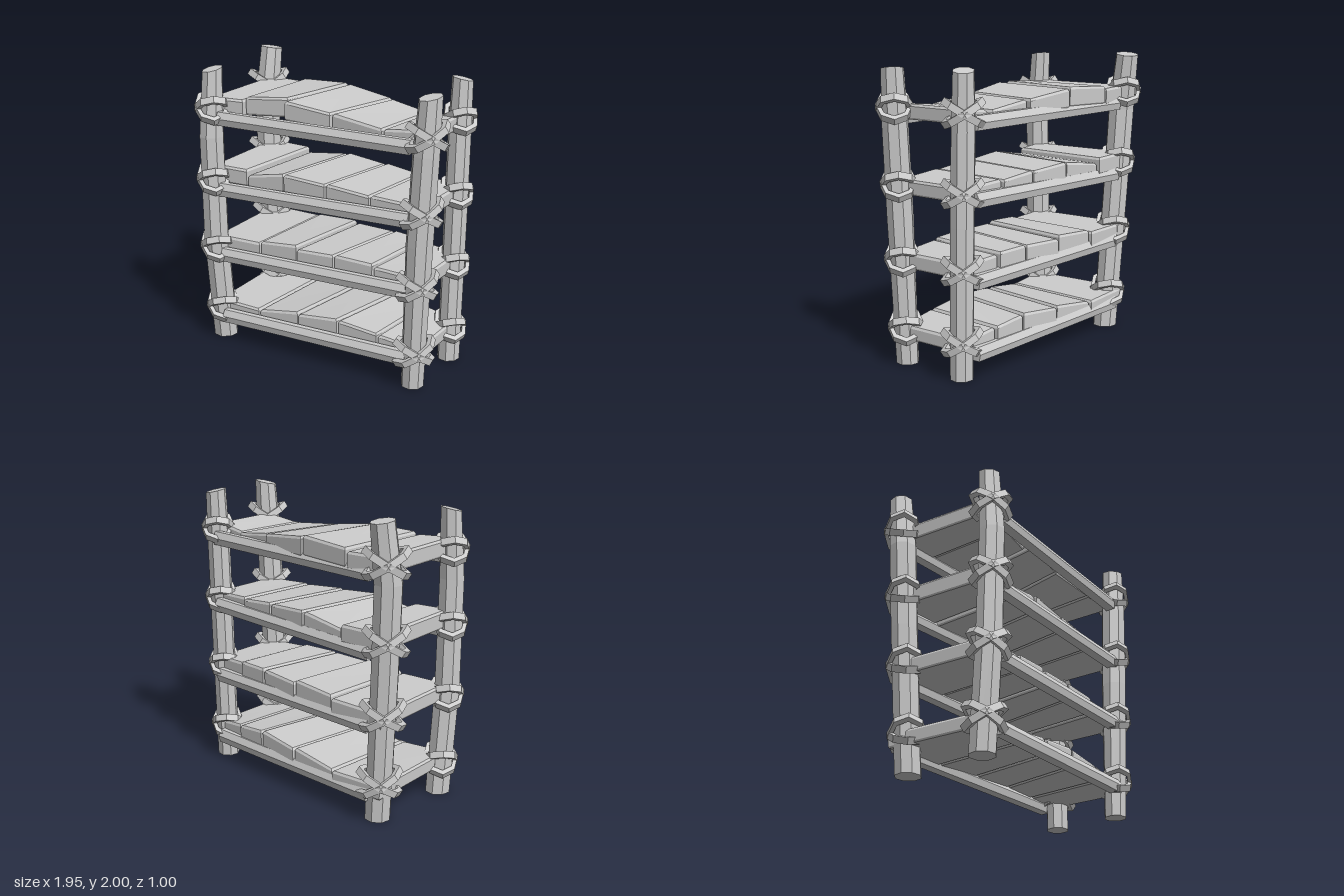
import * as THREE from 'three';

const wood = new THREE.MeshStandardMaterial({ color: 0xcccccc, flatShading: true });
wood.name = 'plain grey wood';

// Closed faceted solid through rings of points (counter-clockwise seen from the last ring)
function loft(rings) {
  const pos = [];
  const tri = (a, b, c) => pos.push(...a, ...b, ...c);
  const n = rings[0].length;
  const centre = r => [0, 1, 2].map(k => r.reduce((s, p) => s + p[k], 0) / n);
  const first = rings[0], last = rings[rings.length - 1];
  const c0 = centre(first), c1 = centre(last);
  for (let i = 0; i < n; i++) {
    const j = (i + 1) % n;
    for (let s = 0; s < rings.length - 1; s++) {
      const a = rings[s], b = rings[s + 1];
      tri(a[i], a[j], b[j]);
      tri(a[i], b[j], b[i]);
    }
    tri(c0, first[j], first[i]);
    tri(c1, last[i], last[j]);
  }
  const g = new THREE.BufferGeometry();
  g.setAttribute('position', new THREE.Float32BufferAttribute(pos, 3));
  g.computeVertexNormals();
  return g;
}

function add(parent, name, geometry) {
  const mesh = new THREE.Mesh(geometry, wood);
  mesh.name = name;
  parent.add(mesh);
  return mesh;
}

// Post stations are [x, y, z, radius]; wrap is the rope radius, lift its height offset
const posts = [
  { name: 'frontRightPost', out: [-1, 1], wrap: 0.105, tilt: [0.01, -0.014], lift: -0.005,
    path: [[-0.765, 0, 0.3, 0.088], [-0.78, 0.75, 0.352, 0.09], [-0.78, 1.5, 0.364, 0.087], [-0.778, 1.96, 0.335, 0.072]] },
  { name: 'backRightPost', out: [-1, -1], wrap: 0.113, tilt: [-0.006, 0.01], lift: 0.025,
    path: [[-0.735, 0, -0.305, 0.088], [-0.8, 1, -0.333, 0.092], [-0.832, 1.6, -0.35, 0.094], [-0.82, 1.989, -0.4, 0.08]] },
  { name: 'frontLeftPost', out: [1, 1], wrap: 0.106, tilt: [0.01, -0.012], lift: 0.012,
    path: [[0.772, 0, 0.265, 0.077], [0.805, 1, 0.275, 0.09], [0.835, 1.6, 0.275, 0.088], [0.855, 1.962, 0.27, 0.076]] },
  { name: 'backLeftPost', out: [1, -1], wrap: 0.1, tilt: [-0.012, 0.01], lift: 0.008,
    path: [[0.785, 0, -0.225, 0.078], [0.79, 1, -0.245, 0.08], [0.79, 1.6, -0.26, 0.079], [0.795, 1.972, -0.27, 0.07]] },
];

// Eight-sided leaning post with a chopped, tilted top
function postGeometry({ path, tilt }) {
  return loft(path.map(([x, y, z, r], s) => {
    const ring = [];
    for (let i = 0; i < 8; i++) {
      const a = (i + 0.3) * Math.PI / 4;
      const dz = Math.cos(a), dx = Math.sin(a);
      const chop = s === path.length - 1 ? tilt[0] * dx + tilt[1] * dz : 0;
      ring.push([x + dx * r, y + chop, z + dz * r]);
    }
    return ring;
  }));
}

// Centre of a post at a given height
function postAt({ path }, y) {
  let s = 0;
  while (s < path.length - 2 && path[s + 1][1] < y) s++;
  const a = path[s], b = path[s + 1], t = (y - a[1]) / (b[1] - a[1]);
  return [a[0] + (b[0] - a[0]) * t, y, a[2] + (b[2] - a[2]) * t];
}

// Six-sided rail from one end centre to the other; section points are [y, z]
const railSection = [[0.046, 0.02], [0.002, 0.044], [-0.045, 0.034], [-0.045, -0.034], [0.002, -0.044], [0.046, -0.02]];
function railGeometry(a, b) {
  return loft([a, b].map(([x, y, z]) => railSection.map(([dy, dz]) => [x, y + dy, z + dz])));
}

// Plank with chipped edges; corners run front -x, front +x, back +x, back -x
function plankGeometry(corners, base) {
  const cx = corners.reduce((s, c) => s + c[0], 0) / 4;
  const cz = corners.reduce((s, c) => s + c[2], 0) / 4;
  // The underside follows half of the top's slope, staying near the rails
  const under = y => (base + y - 0.105) / 2;
  const levels = [[under, 0.006], [y => under(y) + 0.012, 0], [y => y - 0.016, 0], [y => y, 0.01]];
  return loft(levels.map(([height, inset]) =>
    corners.map(([x, y, z]) => [x - Math.sign(x - cx) * inset, height(y), z - Math.sign(z - cz) * inset])));
}

// Flat octagonal rope band
function ropeGeometry(r) {
  const h = 0.023, t = 0.014;
  const profile = [[r - t, -h], [r + t, -h], [r + t, h], [r - t, h], [r - t, -h]];
  return new THREE.LatheGeometry(profile.map(p => new THREE.Vector2(...p)), 8);
}

// Front and back edge depths of the five planks, [-x, +x]: lower shelves, then the top one
const lowerFront = [[0.345, 0.32], [0.32, 0.3], [0.312, 0.295], [0.295, 0.285], [0.285, 0.265]];
const lowerBack = [[-0.4, -0.4], [-0.385, -0.37], [-0.375, -0.345], [-0.345, -0.325], [-0.31, -0.285]];
const topFront = [[0.355, 0.305], [0.285, 0.225], [0.282, 0.25], [0.24, 0.262], [0.258, 0.25]];
const topBack = [[-0.4, -0.41], [-0.41, -0.385], [-0.39, -0.345], [-0.325, -0.29], [-0.255, -0.235]];

// Per shelf: underside height, rail heights [-x, +x], plank joints along the front, joint slants, plank tops [-x, +x]
const shelves = [
  { rope: 0.24, base: 0.185, front: [0.182, 0.207], back: [0.19, 0.172], zFront: lowerFront, zBack: lowerBack,
    joints: [-0.44, -0.12, 0.2, 0.51], slant: [0.03, 0.08, 0.1, 0.04],
    tops: [[0.28, 0.265], [0.265, 0.31], [0.305, 0.335], [0.33, 0.305], [0.3, 0.27]] },
  { rope: 0.71, base: 0.66, front: [0.652, 0.684], back: [0.66, 0.645], zFront: lowerFront, zBack: lowerBack,
    joints: [-0.42, -0.125, 0.17, 0.47], slant: [0.02, 0.07, 0.1, 0.05],
    tops: [[0.77, 0.77], [0.785, 0.805], [0.785, 0.795], [0.8, 0.795], [0.78, 0.765]] },
  { rope: 1.205, base: 1.155, front: [1.133, 1.165], back: [1.145, 1.17], zFront: lowerFront, zBack: lowerBack,
    joints: [-0.515, -0.225, 0.105, 0.44], slant: [0.03, 0.09, 0.09, 0.04],
    tops: [[1.29, 1.285], [1.25, 1.295], [1.3, 1.28], [1.285, 1.26], [1.265, 1.25]] },
  { rope: 1.705, base: 1.645, front: [1.637, 1.643], back: [1.65, 1.65], zFront: topFront, zBack: topBack,
    joints: [-0.545, -0.23, 0.12, 0.515], slant: [0.005, 0.085, 0.115, 0.035],
    tops: [[1.77, 1.765], [1.785, 1.805], [1.795, 1.755], [1.75, 1.71], [1.71, 1.74]] },
];

export function createModel() {
  const model = new THREE.Group();
  model.name = 'lashedShelf';

  for (const post of posts) add(model, post.name, postGeometry(post));

  shelves.forEach((s, level) => {
    const shelf = new THREE.Group();
    shelf.name = 'shelf' + (level + 1);
    model.add(shelf);

    // Rails carrying the planks
    add(shelf, 'frontRail', railGeometry([-0.7, s.front[0], 0.373], [0.75, s.front[1], 0.305]));
    add(shelf, 'backRail', railGeometry([-0.72, s.back[0], -0.378], [0.75, s.back[1], -0.308]));

    // Five uneven planks with narrow gaps
    const frontX = [-0.79, ...s.joints, 0.82];
    const backX = [-0.835, ...s.joints.map((x, i) => x + s.slant[i]), 0.81];
    const gap = 0.008;
    s.tops.forEach(([yl, yr], i) => {
      const [fl, fr] = s.zFront[i], [bl, br] = s.zBack[i];
      add(shelf, 'plank', plankGeometry([
        [frontX[i] + gap, yl, fl], [frontX[i + 1] - gap, yr, fr],
        [backX[i + 1] - gap, yr, br], [backX[i] + gap, yl, bl],
      ], s.base));
    });

    // Two crossed oval bands lash each corner, crossing on its outer side
    for (const post of posts) {
      for (const side of [-1, 1]) {
        const rope = add(shelf, 'ropeLashing', ropeGeometry(post.wrap));
        rope.position.set(...postAt(post, s.rope + post.lift));
        rope.rotation.set(0, Math.atan2(post.out[0], post.out[1]), side * 0.55);
        rope.scale.x = 1.32;
      }
    }
  });
  return model;
}
